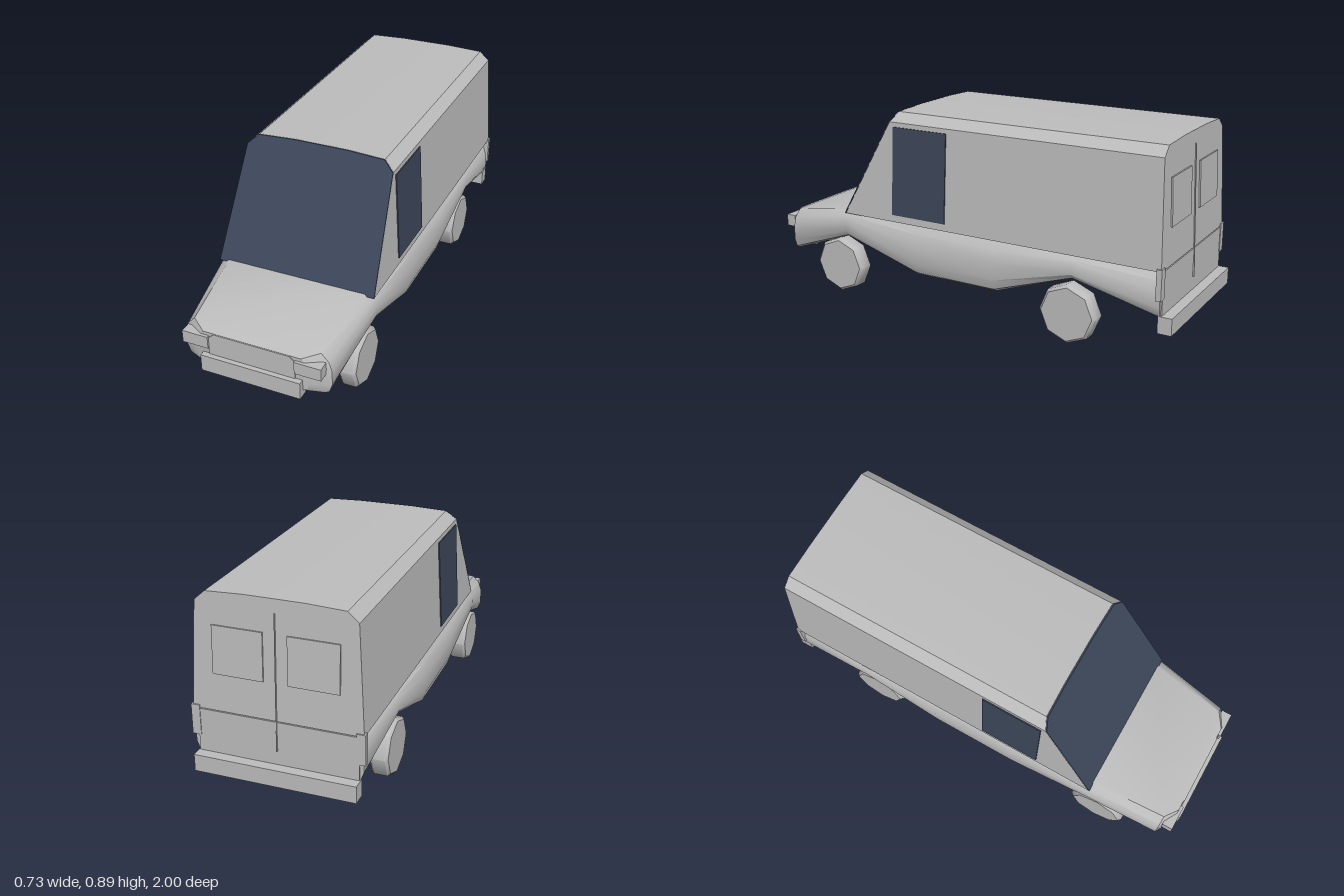
import * as THREE from 'three';
import { toCreasedNormals } from 'three/addons/utils/BufferGeometryUtils.js';

const paint = new THREE.MeshStandardMaterial({ color: 0xbcbcbc });
paint.name = 'grey paint';
const glass = new THREE.MeshStandardMaterial({ color: 0x3d475a });
glass.name = 'dark glass';

// Skin a list of rings (front to back, each counter-clockwise seen from +z) and cap both ends
function loft(rings, crease) {
  const n = rings[0].length, idx = [];
  for (let i = 0; i < rings.length - 1; i++) {
    for (let j = 0; j < n; j++) {
      const a = i * n + j, b = i * n + (j + 1) % n, c = a + n, d = b + n;
      idx.push(a, c, b, b, c, d);
    }
  }
  const last = (rings.length - 1) * n;
  for (let j = 1; j < n - 1; j++) {
    idx.push(0, j, j + 1, last, last + j + 1, last + j);
  }
  const g = new THREE.BufferGeometry();
  g.setAttribute('position', new THREE.Float32BufferAttribute(rings.flat(2), 3));
  g.setIndex(idx);
  return toCreasedNormals(g, crease);
}

// Complete a right-hand half outline (bottom to top) by mirroring it
const mirrored = (half) => [...half, ...half.slice().reverse().map(([x, y]) => [-x, y])];

export function createModel() {
  const van = new THREE.Group();
  van.name = 'van';
  const add = (name, geo, mat = paint) => {
    const m = new THREE.Mesh(geo, mat);
    m.name = name;
    van.add(m);
    return m;
  };
  // Box given by its limits on each axis
  const box = (name, x0, x1, y0, y1, z0, z1, mat) => {
    const m = add(name, new THREE.BoxGeometry(x1 - x0, y1 - y0, z1 - z0), mat);
    m.position.set((x0 + x1) / 2, (y0 + y1) / 2, (z0 + z1) / 2);
    return m;
  };

  // Rounded lower body: z, half width, bottom, top
  const stations = [
    [0.975, 0.25, 0.175, 0.325], [0.93, 0.325, 0.15, 0.34], [0.58, 0.365, 0.28, 0.402],
    [0.2, 0.365, 0.16, 0.395], [-0.2, 0.365, 0.16, 0.39], [-0.57, 0.365, 0.29, 0.39],
    [-0.95, 0.352, 0.19, 0.388],
  ];
  const section = mirrored([[0.9, 0], [0.96, 0.06], [1, 0.25], [1, 0.6], [0.96, 0.82], [0.86, 1]]);
  add('lowerBody', loft(stations.map(([z, w, y0, y1]) =>
    section.map(([x, t]) => [x * w, y0 + t * (y1 - y0), z])), 0.6));

  // Upper body with raked front and nearly upright rear
  const cabin = mirrored([[0.355, 0.393], [0.33, 0.84], [0.285, 0.88], [0.12, 0.887]]);
  const frontZ = (y) => 0.58 - (y - 0.4) * 0.545;
  const rearZ = (y) => -0.953 + (y - 0.39) * 0.04;
  const ring = (f) => cabin.map(([x, y]) => [x, y, f(y)]);
  add('upperBody', loft([ring(frontZ), ring(rearZ)], 0.1));

  // Windscreen plate over the whole raked front
  add('windscreen', loft([ring((y) => frontZ(y) + 0.007), ring((y) => frontZ(y) + 0.001)], 0.1), glass);

  for (const s of [-1, 1]) {
    // Cab side window lying on the sloped side
    const win = add('sideWindow', new THREE.BoxGeometry(0.007, 0.395, 0.275), glass);
    win.position.set(s * 0.3435, 0.6225, 0.183);
    win.rotation.z = s * 0.0555;

    // Wheels: eight sides with a small bevel
    for (const z of [0.64, -0.545]) {
      const profile = [[0, -0.04], [0.118, -0.04], [0.13, -0.028], [0.13, 0.028], [0.118, 0.04], [0, 0.04]]
        .map(([r, y]) => new THREE.Vector2(r, y));
      const tyre = new THREE.LatheGeometry(profile, 8).rotateZ(Math.PI / 2);
      add('wheel', toCreasedNormals(tyre, 0.82)).position.set(s * 0.31, 0.13, z);
    }

    // Lamps and rear door windows
    const span = (a, b) => (s > 0 ? [a, b] : [-b, -a]);
    box('headlight', ...span(0.19, 0.305), 0.255, 0.31, 0.94, 0.988);
    box('tailLight', ...span(0.325, 0.362), 0.275, 0.405, -0.958, -0.935);
    const rear = box('rearWindow', ...span(0.05, 0.26), 0.55, 0.75, -0.949, -0.941);
    rear.rotation.x = 0.04;
  }

  // Rear doors: lower panel and centre seam
  box('rearPanel', -0.335, 0.335, 0.2, 0.39, -0.955, -0.948);
  const seam = box('doorSeam', -0.002, 0.002, 0.265, 0.83, -0.951, -0.943);
  seam.rotation.x = 0.04;

  // Grille plate with chamfered top corners
  const grille = new THREE.Shape(mirrored([[0.19, 0.2], [0.19, 0.303], [0.165, 0.324]])
    .map(([x, y]) => new THREE.Vector2(x, y)));
  add('grille', new THREE.ExtrudeGeometry(grille, { depth: 0.008, bevelEnabled: false }))
    .position.z = 0.971;

  // Bumpers
  box('frontBumper', -0.22, 0.22, 0.147, 0.223, 0.895, 1);
  box('rearBumper', -0.34, 0.34, 0.132, 0.205, -1, -0.94);

  return van;
}
